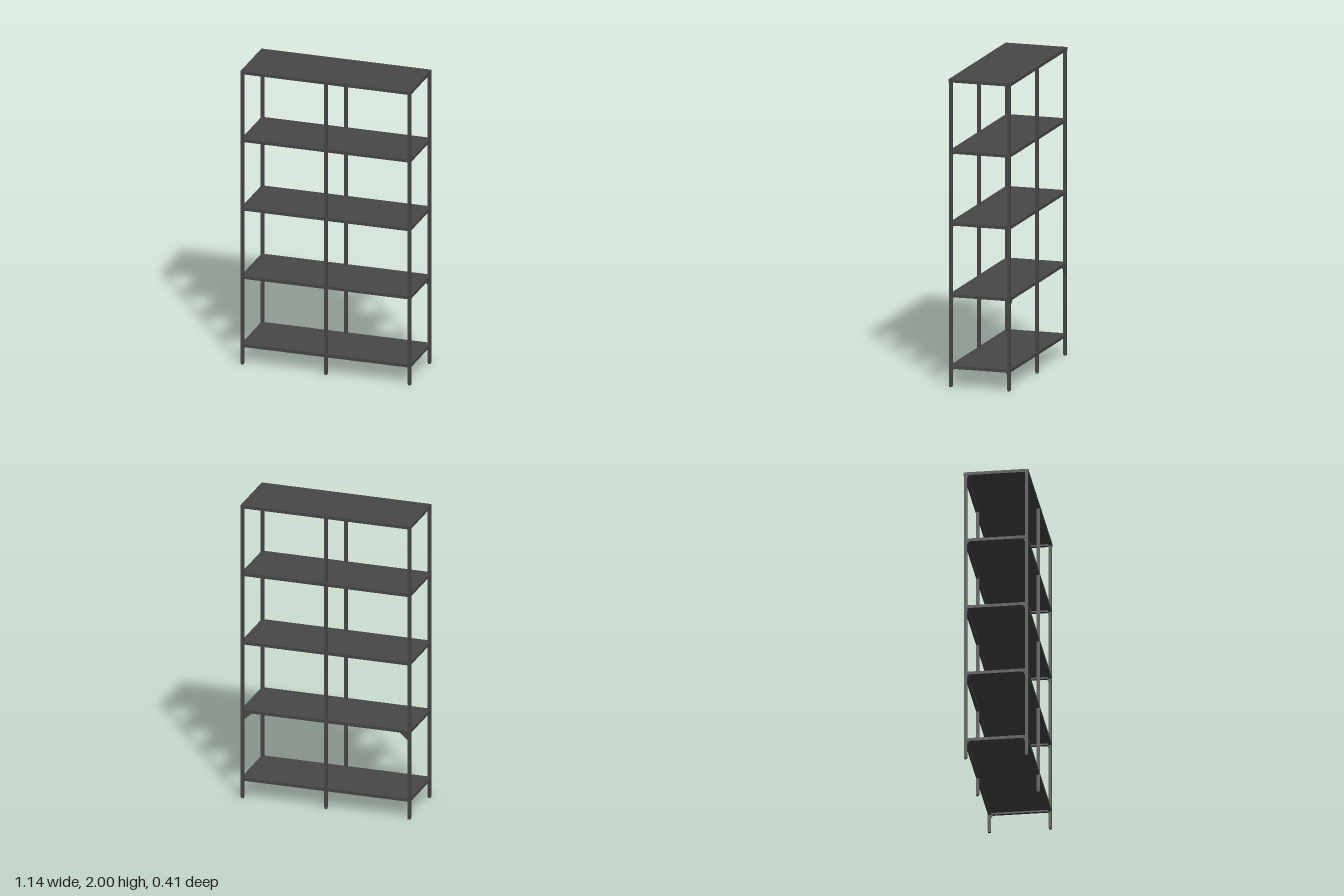
import * as THREE from 'three';

export function createModel() {
  const model = new THREE.Group();
  model.name = 'shelvingUnit';
  const steel = new THREE.MeshStandardMaterial({ color: 0x484848 });
  steel.name = 'dark grey steel';

  function add(parent, name, geometry, x, y, z) {
    const mesh = new THREE.Mesh(geometry, steel);
    mesh.name = name;
    mesh.position.set(x, y, z);
    parent.add(mesh);
    return mesh;
  }
  const box = (parent, name, w, h, d, x, y, z) =>
    add(parent, name, new THREE.BoxGeometry(w, h, d), x, y, z);

  // Triangular bracket: legs run along +x and down, centred on its thickness
  function gussetGeometry(width, height, thickness) {
    const s = new THREE.Shape();
    s.moveTo(0, 0);
    s.lineTo(0, -height);
    s.lineTo(width, 0);
    s.closePath();
    const g = new THREE.ExtrudeGeometry(s, { depth: thickness, bevelEnabled: false });
    return g.translate(0, 0, -thickness / 2);
  }

  const T = 0.02, postX = 0.56, postZ = 0.195;

  // Six posts with small feet
  for (const x of [-postX, 0, postX]) {
    for (const z of [-postZ, postZ]) {
      box(model, 'post', T, 1.972, T, x, 0.994, z);
      box(model, 'foot', 0.016, 0.008, 0.016, x, 0.004, z);
    }
  }

  // Shelf: a panel set into a rectangular frame of rails
  function shelf(name, top, halfX, halfZ) {
    const group = new THREE.Group();
    group.name = name;
    group.position.y = top;
    for (const s of [-1, 1]) {
      box(group, 'longRail', 2 * halfX, T, T, 0, -T / 2, s * (halfZ - T / 2));
      box(group, 'endRail', T, T, 2 * (halfZ - T), s * (halfX - T / 2), -T / 2, 0);
    }
    box(group, 'panel', 2 * (halfX - T), 0.008, 2 * (halfZ - T), 0, -0.005, 0);
    model.add(group);
  }

  const levels = [0.14, 0.605, 1.07, 1.537];
  levels.forEach((y) => shelf('shelf', y, 0.568, 0.203));
  shelf('topShelf', 2, 0.57, 0.207);

  // Small end brackets tucked under the shelves against the corner posts
  for (const y of [...levels, 2]) {
    for (const x of [-postX, postX]) {
      for (const s of y === 2 ? [-1] : [-1, 1]) {
        const b = add(model, 'endBracket', gussetGeometry(0.012, 0.02, 0.006),
          x, y - T, s * (postZ - T / 2));
        b.rotation.y = s * Math.PI / 2;
      }
    }
  }

  // Larger gussets bracing the rear corners
  for (const s of [-1, 1]) {
    const g = add(model, 'rearGusset', gussetGeometry(0.055, 0.05, 0.006),
      s * 0.55, levels[1] - T, -postZ);
    g.rotation.y = s > 0 ? Math.PI : 0;
  }

  return model;
}
